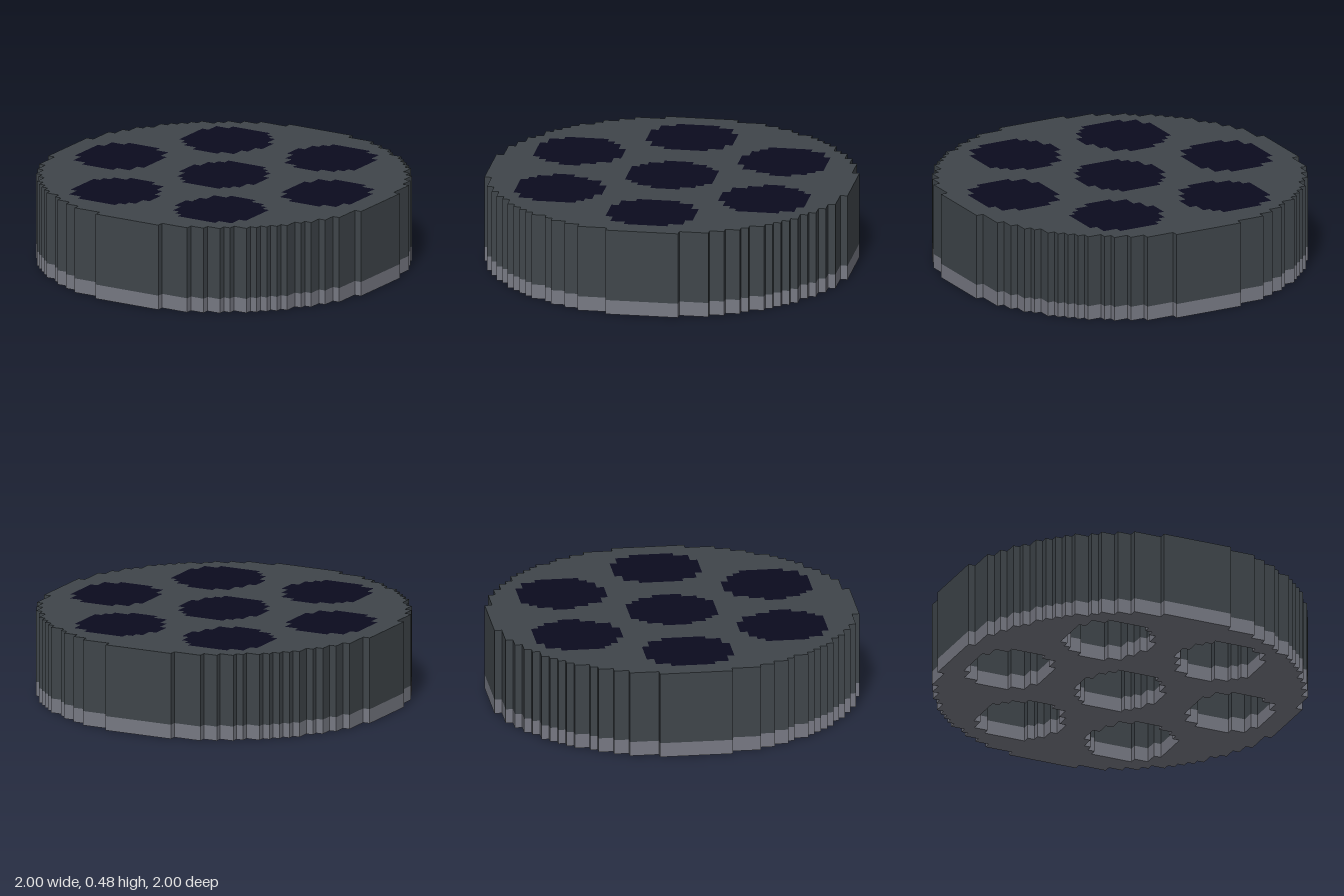
import * as THREE from 'three';

const CELL = 0.04; // edge of one block; the disc is 50 blocks across

// Stepped outline of an ellipse sampled on the block grid (cx, cz, rx, rz in blocks)
function steppedOutline(cx, cz, rx, rz) {
  const left = [], right = [];
  for (let row = -25; row < 25; row++) {
    const t = 1 - ((row + 0.5 - cz) / rz) ** 2;
    if (t < 0) continue;
    const half = rx * Math.sqrt(t);
    const x0 = Math.ceil(cx - half - 0.5);
    const x1 = Math.floor(cx + half - 0.5) + 1;
    if (x1 <= x0) continue;
    // extend the previous step when the row has the same edge
    const add = (side, x) => {
      const last = side[side.length - 1];
      if (last && last.x === x) last.y = row + 1;
      else side.push(new THREE.Vector2(x, row), new THREE.Vector2(x, row + 1));
    };
    add(left, x0);
    add(right, x1);
  }
  return [...right, ...left.reverse()].map((p) => p.multiplyScalar(CELL));
}

// Upright slab between two heights
function slab(name, shape, y0, y1, material) {
  const geometry = new THREE.ExtrudeGeometry(shape, { depth: y1 - y0, bevelEnabled: false });
  geometry.rotateX(-Math.PI / 2);
  geometry.translate(0, y0, 0);
  const mesh = new THREE.Mesh(geometry, material);
  mesh.name = name;
  return mesh;
}

export function createModel() {
  const group = new THREE.Group();
  group.name = 'sevenHoleDisc';

  const darkGrey = new THREE.MeshStandardMaterial({ color: 0x3f454a });
  darkGrey.name = 'dark grey';
  const midGrey = new THREE.MeshStandardMaterial({ color: 0x777983 });
  midGrey.name = 'mid grey';
  const navy = new THREE.MeshStandardMaterial({ color: 0x0b0b1e });
  navy.name = 'midnight navy';

  // One bore in the centre and six around it
  const centres = [[0, 0]];
  for (let i = 0; i < 6; i++) {
    const a = (i * Math.PI) / 3;
    centres.push([16.5 * Math.cos(a), 16.5 * Math.sin(a)]);
  }
  const bores = centres.map(([x, z]) => steppedOutline(x, z, 5.97, 6.2));

  const disc = new THREE.Shape(steppedOutline(0, 0, 25, 25));
  disc.holes = bores.map((points) => new THREE.Path(points));

  // Lighter rim below, dark body above
  group.add(slab('bottomRim', disc, 0, 0.08, midGrey));
  group.add(slab('body', disc, 0.08, 0.48, darkGrey));

  // Dark caps closing the bores flush with the top
  bores.forEach((points, i) => {
    group.add(slab(`boreCap${i + 1}`, new THREE.Shape(points), 0.44, 0.48, navy));
  });

  return group;
}
